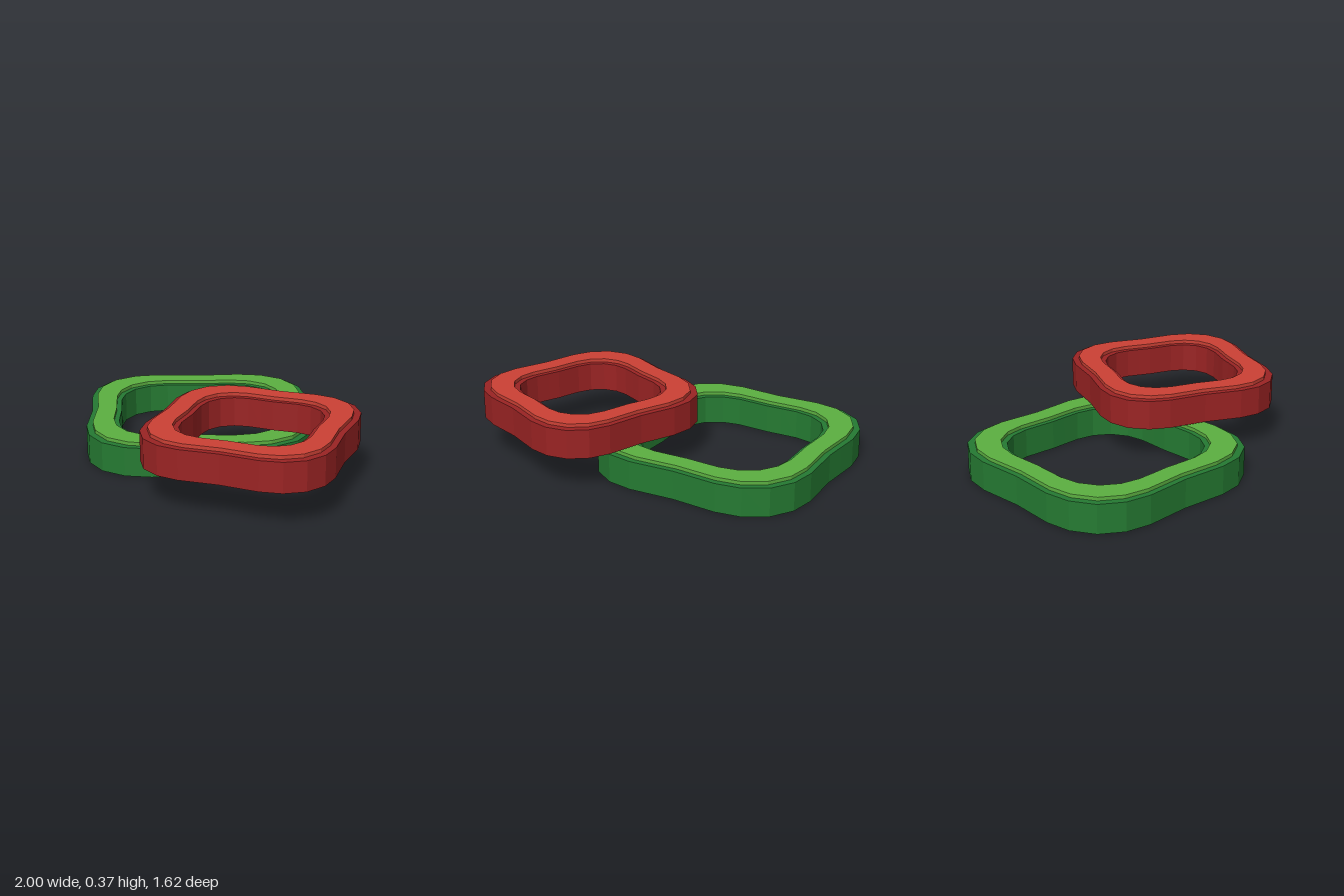
import * as THREE from 'three';

const SEGMENTS = 32;

// Closed wavy outline with four lobes; tip and valley are its largest and smallest radius
function outline(tip, valley, turn) {
  const mean = (tip + valley) / 2, amp = (tip - valley) / 2;
  const points = [];
  for (let i = 0; i < SEGMENTS; i++) {
    const a = (i / SEGMENTS) * Math.PI * 2;
    const r = mean + amp * Math.cos(4 * a);
    points.push(new THREE.Vector2(r * Math.cos(a - turn), r * Math.sin(a - turn)));
  }
  return points;
}

// Flat slab between two wavy outlines, lying on the ground plane
function wavyBand(name, outer, inner, turn, y, height, material) {
  const shape = new THREE.Shape(outline(...outer, turn));
  shape.holes.push(new THREE.Path(outline(...inner, turn)));
  const geometry = new THREE.ExtrudeGeometry(shape, { depth: height, bevelEnabled: false });
  geometry.rotateX(-Math.PI / 2);
  const mesh = new THREE.Mesh(geometry, material);
  mesh.name = name;
  mesh.position.y = y;
  return mesh;
}

function material(name, color) {
  const m = new THREE.MeshStandardMaterial({ color });
  m.name = name;
  return m;
}

export function createModel() {
  const model = new THREE.Group();
  model.name = 'wavyRings';

  const rings = [
    {
      name: 'greenRing', x: -0.273, y: 0, z: -0.085, turn: 0,
      body: [[0.726, 0.594], [0.517, 0.43]],
      cap: [[0.687, 0.562], [0.549, 0.457]],
      dark: material('dark green', 0x257a32), light: material('light green', 0x5cb041),
    },
    {
      name: 'redRing', x: 0.43, y: 0.19, z: 0.247, turn: THREE.MathUtils.degToRad(22),
      body: [[0.592, 0.484], [0.389, 0.322]],
      cap: [[0.552, 0.452], [0.421, 0.349]],
      dark: material('dark red', 0x9a2323), light: material('light red', 0xcc4135),
    },
  ];

  for (const r of rings) {
    const ring = new THREE.Group();
    ring.name = r.name;
    ring.position.set(r.x, r.y, r.z);
    // Thick body with a thin, slightly narrower cap on top
    ring.add(wavyBand('ringBody', ...r.body, r.turn, 0, 0.158, r.dark));
    ring.add(wavyBand('ringCap', ...r.cap, r.turn, 0.158, 0.019, r.light));
    model.add(ring);
  }
  return model;
}
